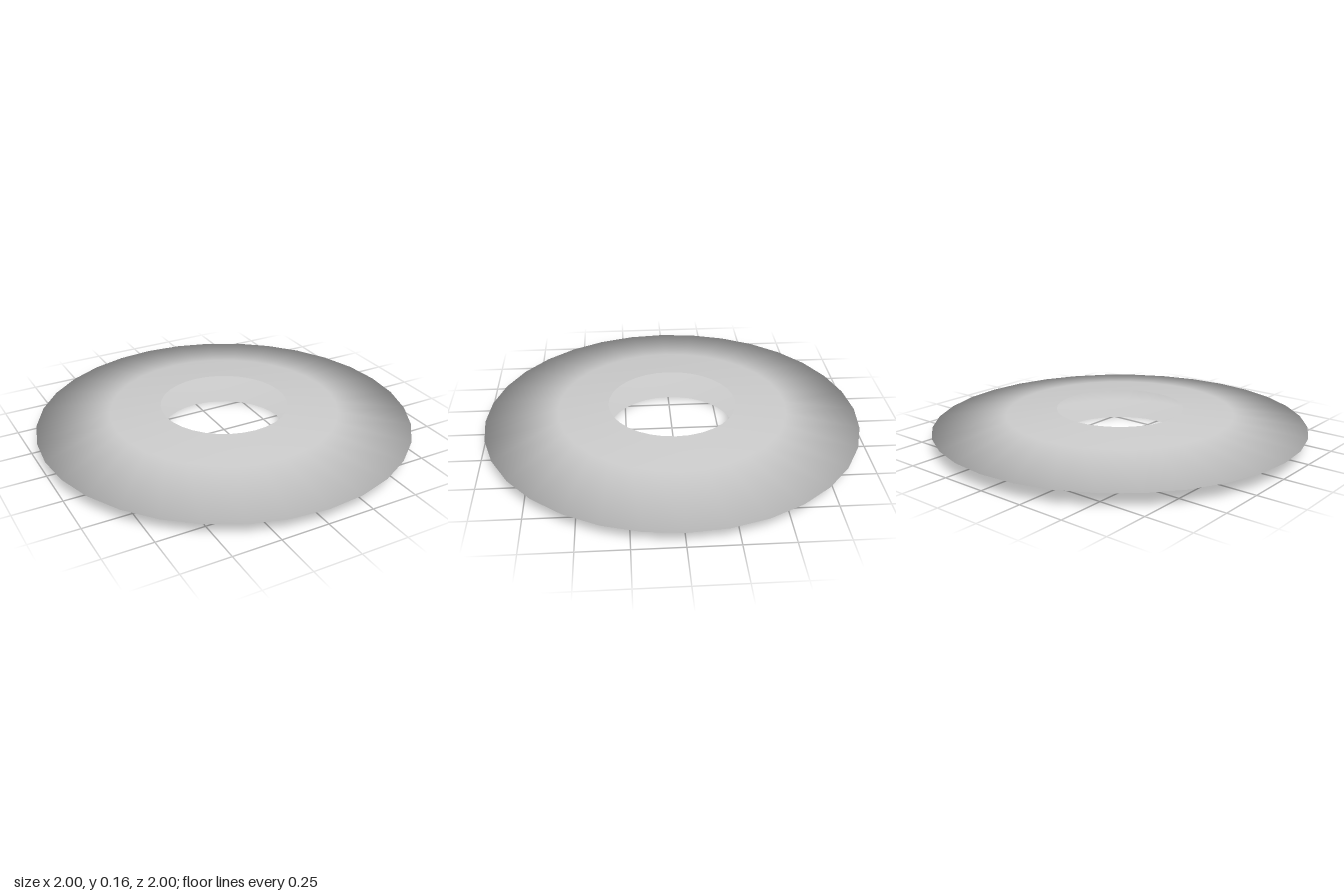
import * as THREE from 'three';

export function createModel() {
  const group = new THREE.Group();
  group.name = 'disc';

  const height = 0.163;
  const mid = height / 2;

  // Half profile as [radius, distance from the middle plane], rim to hole
  const half = [[1, 0], [0.61, 0.058], [0.34, mid]];
  const lower = half.slice(1).reverse().map(([r, d]) => new THREE.Vector2(r, mid - d));
  const upper = half.map(([r, d]) => new THREE.Vector2(r, mid + d));

  // Hollow lens-shaped shell, open around the centre hole, smooth over the thin rim
  const shell = new THREE.Mesh(
    new THREE.LatheGeometry([...lower, ...upper], 32),
    new THREE.MeshStandardMaterial({ color: 0xcccccc, side: THREE.DoubleSide })
  );
  shell.name = 'ringShell';
  group.add(shell);

  return group;
}
